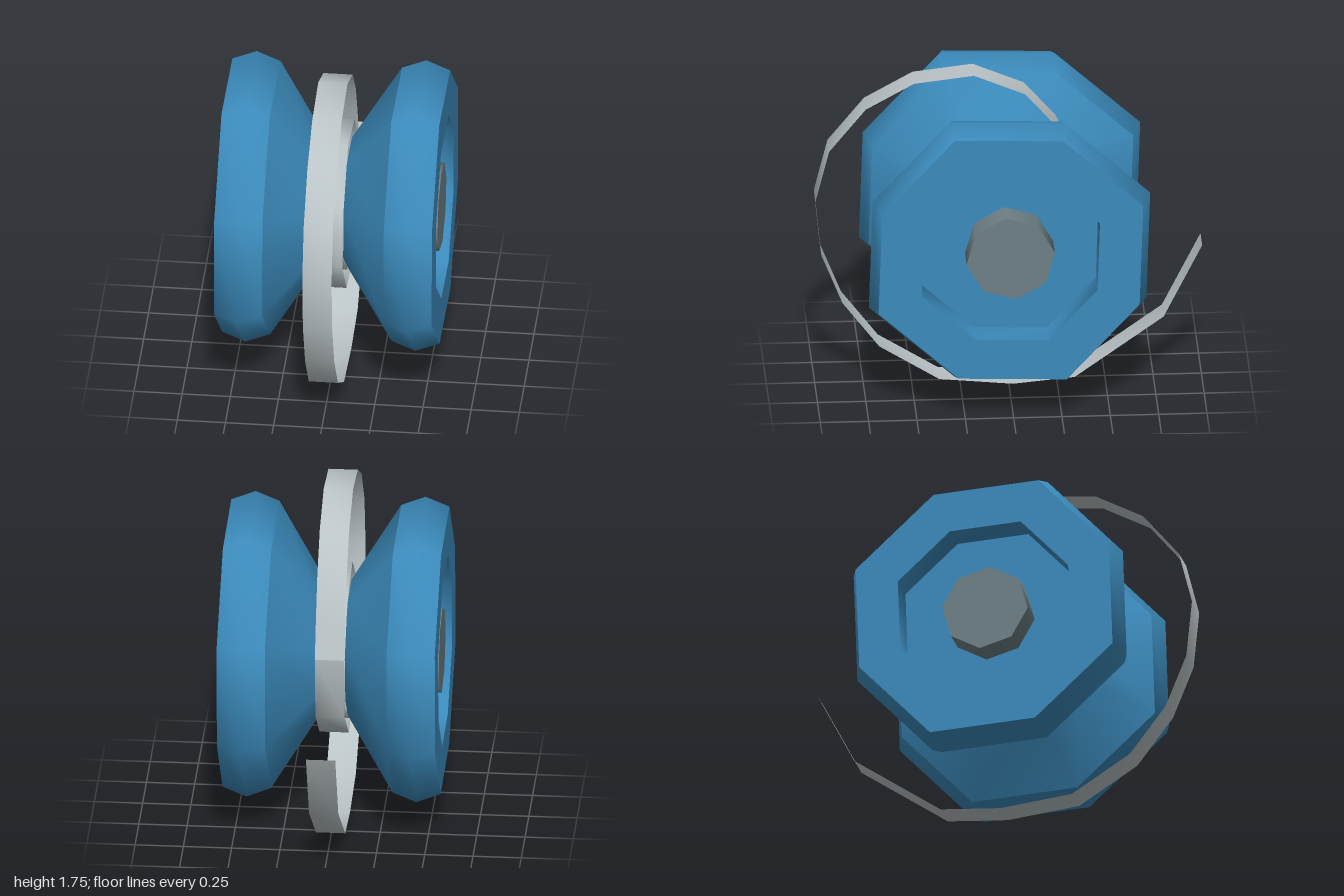
import * as THREE from 'three';

const CY = 0.925, CZ = 0.018; // axle centre line

const blue = new THREE.MeshStandardMaterial({ color: 0x3b8abb });
blue.name = 'blue plastic';
const steel = new THREE.MeshStandardMaterial({ color: 0x6d8086 });
steel.name = 'steel grey';
const cord = new THREE.MeshStandardMaterial({ color: 0xbac3c6, side: THREE.DoubleSide });
cord.name = 'pale cord';

function build(positions, index) {
  const g = new THREE.BufferGeometry();
  g.setAttribute('position', new THREE.Float32BufferAttribute(positions, 3));
  g.setIndex(index);
  g.computeVertexNormals();
  return g;
}

// Eight-sided skin around the x axis; profile is [x, radius] running along the outside
function loft(profile, startDeg, oddScale) {
  const pos = [], idx = [], n = 8;
  for (const [x, r] of profile) {
    for (let i = 0; i < n; i++) {
      const a = THREE.MathUtils.degToRad(startDeg + i * 45);
      const rr = r * (i % 2 ? oddScale : 1);
      pos.push(x, CY + rr * Math.sin(a), CZ + rr * Math.cos(a));
    }
  }
  for (let p = 0; p < profile.length - 1; p++) {
    for (let i = 0; i < n; i++) {
      const a = p * n + i, c = p * n + (i + 1) % n;
      idx.push(a, a + n, c, c, a + n, c + n);
    }
  }
  return build(pos, idx);
}

// Each surface is its own skin, so the edges between them stay sharp
const discParts = {
  hubFace: [[0.07, 0], [0.07, 0.35]],
  innerCone: [[0.07, 0.35], [0.315, 0.743]],
  rim: [[0.315, 0.743], [0.44, 0.79], [0.565, 0.743]],
  outerFace: [[0.565, 0.743], [0.565, 0.5]],
  recessWall: [[0.565, 0.5], [0.405, 0.5]],
  recessFloor: [[0.405, 0.5], [0.405, 0]],
};

function makeDisc(side) {
  const disc = new THREE.Group();
  disc.name = side > 0 ? 'leftDisc' : 'rightDisc';
  for (const [name, profile] of Object.entries(discParts)) {
    const p = side > 0 ? profile : profile.map(([x, r]) => [-x, r]).reverse();
    const mesh = new THREE.Mesh(loft(p, 67.1, 0.967), blue);
    mesh.name = name;
    disc.add(mesh);
  }
  return disc;
}

function makeAxle() {
  const axle = new THREE.Group();
  axle.name = 'axle';
  const L = 0.55, R = 0.23;
  const parts = {
    axleShaft: [[-L, R], [L, R]],
    axleLeftEnd: [[L, R], [L, 0]],
    axleRightEnd: [[-L, 0], [-L, R]],
  };
  for (const [name, p] of Object.entries(parts)) {
    const mesh = new THREE.Mesh(loft(p, 83, 1), steel);
    mesh.name = name;
    axle.add(mesh);
  }
  return axle;
}

// Thin band following a [z, y] path
function ribbon(path, halfWidth) {
  const pos = [], idx = [];
  path.forEach(([z, y], i) => {
    pos.push(-halfWidth, y, z, halfWidth, y, z);
    if (i) idx.push(2 * i - 2, 2 * i - 1, 2 * i, 2 * i, 2 * i - 1, 2 * i + 1);
  });
  return build(pos, idx);
}

function makeString() {
  const g = new THREE.Group();
  g.name = 'string';

  // Loose loop from the free end, under the front and over the top
  const loop = [
    [-1, 0.76], [-0.8, 0.36], [-0.34, 0.03], [-0.02, 0], [0.36, 0.037], [0.67, 0.23],
    [0.86, 0.48], [0.97, 0.755], [1, 1.06], [0.93, 1.34], [0.74, 1.575], [0.49, 1.715],
    [0.18, 1.752], [-0.085, 1.64], [-0.25, 1.45], [-0.34, 1.25], [-0.41, 1.05],
  ];
  const loose = new THREE.Mesh(ribbon(loop, 0.076), cord);
  loose.name = 'looseString';

  // Wound part spiralling in to the axle
  const coil = [];
  for (let i = 0; i <= 17; i++) {
    const a = THREE.MathUtils.degToRad(163.5 + i * 45);
    const r = 0.447 - Math.max(0, i - 6) * 0.019;
    coil.push([CZ + r * Math.cos(a), CY + r * Math.sin(a)]);
  }
  coil[0] = loop[loop.length - 1];
  const wound = new THREE.Mesh(ribbon(coil, 0.076), cord);
  wound.name = 'woundString';

  g.add(loose, wound);
  return g;
}

export function createModel() {
  const model = new THREE.Group();
  model.name = 'stringSpinnerToy';
  model.add(makeDisc(1), makeDisc(-1), makeAxle(), makeString());
  return model;
}
